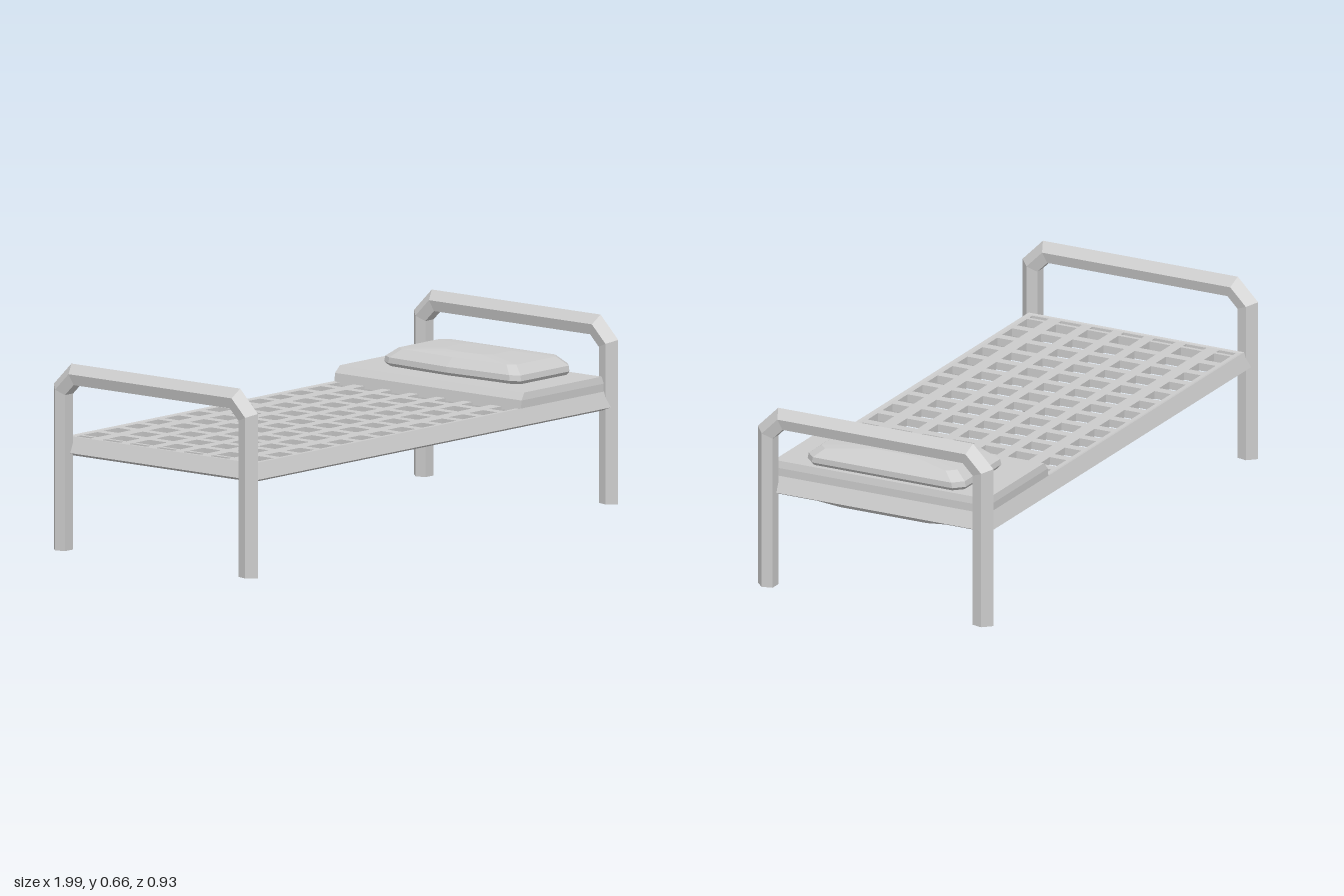
import * as THREE from 'three';

const material = new THREE.MeshStandardMaterial({ color: 0xcccccc, flatShading: true });

// Skin a list of equal-length rings; either close it into a loop or cap both ends.
function loft(name, rings, closed = false) {
  const pos = [];
  const tri = (a, b, c) => pos.push(...a, ...b, ...c);
  const n = rings[0].length;
  const spans = closed ? rings.length : rings.length - 1;
  for (let k = 0; k < spans; k++) {
    const a = rings[k], b = rings[(k + 1) % rings.length];
    for (let i = 0; i < n; i++) {
      const j = (i + 1) % n;
      tri(a[i], a[j], b[j]);
      tri(a[i], b[j], b[i]);
    }
  }
  if (!closed) {
    const a = rings[0], b = rings[rings.length - 1];
    for (let i = 1; i < n - 1; i++) {
      tri(a[0], a[i + 1], a[i]);
      tri(b[0], b[i], b[i + 1]);
    }
  }
  const geometry = new THREE.BufferGeometry();
  geometry.setAttribute('position', new THREE.Float32BufferAttribute(pos, 3));
  geometry.computeVertexNormals();
  const mesh = new THREE.Mesh(geometry, material);
  mesh.name = name;
  return mesh;
}

// Horizontal rectangle, counter-clockwise from above.
const rect = (x0, x1, hz, y) => [[x1, y, hz], [x1, y, -hz], [x0, y, -hz], [x0, y, hz]];

// Horizontal rectangle with cut corners and a slight bow on its inner long side.
const cushion = (x0, x1, hz, y, cut, bow = 0) => [
  [x1, y, hz - cut], [x1, y, -hz + cut], [x1 - cut, y, -hz], [x0 + cut, y, -hz],
  [x0 + bow, y, -hz + cut], [x0, y, 0], [x0 + bow, y, hz - cut], [x0 + cut, y, hz], [x1 - cut, y, hz],
];

// Legs and top bar: a five-sided tube with mitred bends, ridge facing outwards.
function endFrame(name, x) {
  const section = [[0, 0.035], [0.031, 0.003], [0.022, -0.035], [-0.022, -0.035], [-0.031, 0.003]];
  const path = [[0.43, 0], [0.43, 0.565], [0.37, 0.625], [-0.37, 0.625], [-0.43, 0.565], [-0.43, 0]];
  const angles = [0, 22.5, 67.5, 112.5, 157.5, 180]; // outward direction at each point
  const rings = path.map(([z, y], i) => {
    const a = THREE.MathUtils.degToRad(angles[i]);
    const mitre = i === 0 || i === path.length - 1 ? 1 : 1 / Math.cos(Math.PI / 8);
    return section.map(([sx, out]) =>
      [x + sx, y + out * mitre * Math.sin(a), z + out * mitre * Math.cos(a)]);
  });
  return loft(name, rings);
}

// Woven base: thin sheet with rows of openings, solid under the mattress.
function meshBase() {
  const shape = new THREE.Shape();
  shape.moveTo(-0.93, -0.42).lineTo(0.93, -0.42).lineTo(0.93, 0.42).lineTo(-0.93, 0.42).closePath();
  const opening = (x, z, w, d) => {
    const hole = new THREE.Path();
    hole.moveTo(x - w / 2, z - d / 2).lineTo(x - w / 2, z + d / 2)
      .lineTo(x + w / 2, z + d / 2).lineTo(x + w / 2, z - d / 2).closePath();
    shape.holes.push(hole);
  };
  for (let row = -3; row <= 3; row++) {
    const depth = Math.abs(row) === 3 ? 0.065 : 0.082;
    opening(-0.908, row * 0.123, 0.022, depth);
    for (let col = 0; col < 13; col++) opening(-0.845 + col * 0.109, row * 0.123, 0.074, depth);
  }
  const geometry = new THREE.ExtrudeGeometry(shape, { depth: 0.028, bevelEnabled: false });
  geometry.rotateX(-Math.PI / 2).translate(0, 0.367, 0);
  const mesh = new THREE.Mesh(geometry, material);
  mesh.name = 'meshBase';
  return mesh;
}

export function createModel() {
  const group = new THREE.Group();
  group.name = 'bed';

  group.add(endFrame('headFrame', 0.966), endFrame('footFrame', -0.966));

  // Bevelled rail running round all four sides: [half length, half width, height]
  const rail = [[0.935, 0.42, 0.33], [0.96, 0.447, 0.342], [0.937, 0.425, 0.397],
    [0.92, 0.405, 0.393], [0.92, 0.405, 0.34]];
  group.add(loft('sideRails', rail.map(([x, z, y]) => rect(-x, x, z, y)), true));
  group.add(meshBase());

  // Folded mattress at the head end
  group.add(loft('mattress', [
    rect(0.49, 0.935, 0.425, 0.385), rect(0.495, 0.935, 0.425, 0.425), rect(0.515, 0.93, 0.42, 0.45),
  ]));

  // Pillow with bevelled edges and a low crown
  group.add(loft('pillow', [
    cushion(0.61, 0.905, 0.3, 0.445, 0.03, 0.01),
    cushion(0.59, 0.92, 0.312, 0.462, 0.035, 0.015),
    cushion(0.592, 0.92, 0.308, 0.482, 0.035, 0.015),
    cushion(0.622, 0.895, 0.268, 0.512, 0.03, 0.012),
    cushion(0.68, 0.84, 0.11, 0.522, 0.03, 0.01),
  ]));

  // Sagging underside below the pillow
  group.add(loft('sag', [
    cushion(0.66, 0.85, 0.2, 0.289, 0.04),
    cushion(0.61, 0.91, 0.22, 0.312, 0.05),
    cushion(0.58, 0.93, 0.38, 0.335, 0.05),
    cushion(0.51, 0.93, 0.41, 0.37, 0.03),
  ]));

  return group;
}
